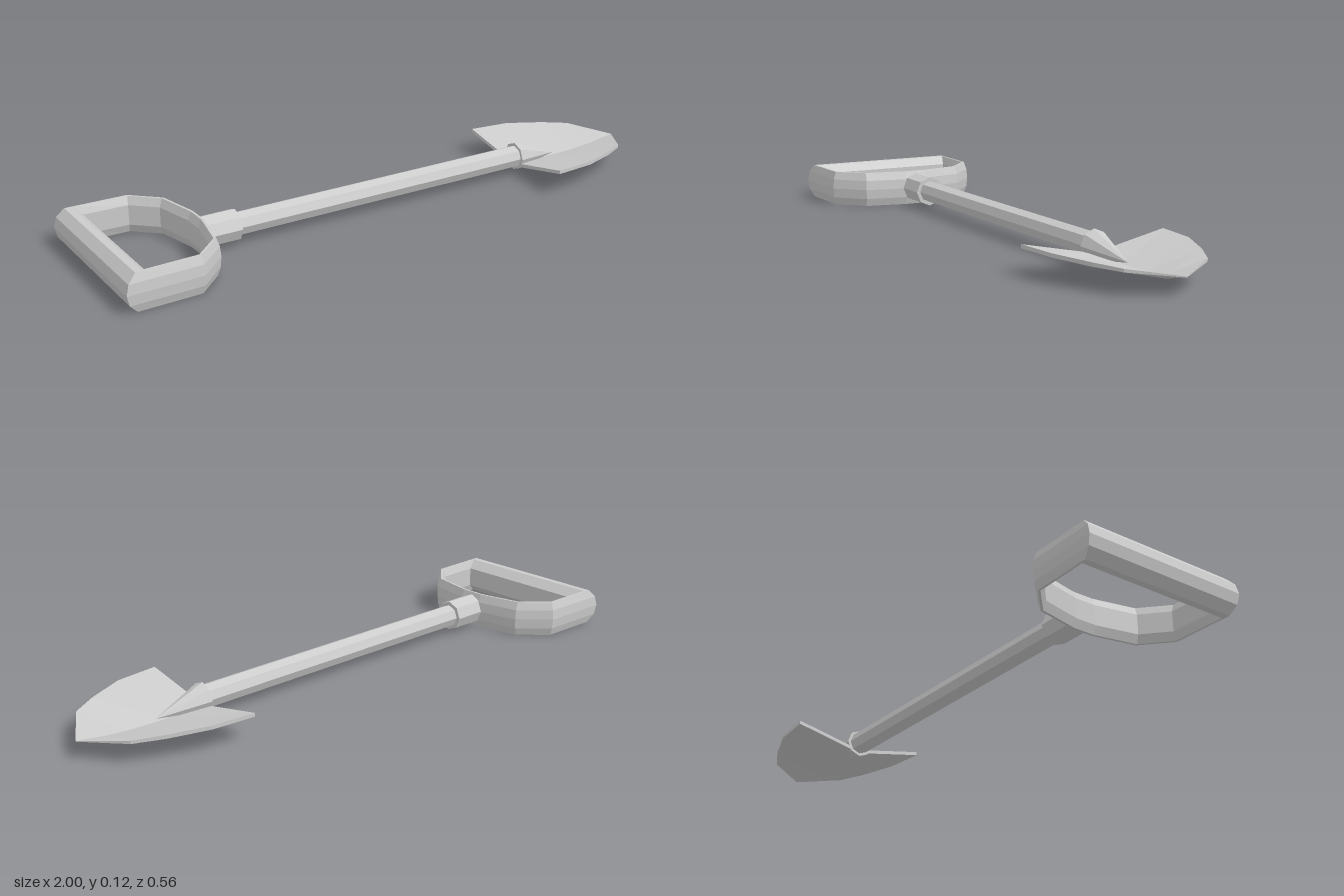
import * as THREE from 'three';

const material = new THREE.MeshStandardMaterial({ color: 0xcccccc, flatShading: true });
const AXIS_Y = 0.061;

// Skins a row of equal-sized rings; either joins last to first or caps both ends.
function loft(rings, closed) {
  const n = rings[0].length;
  const index = [];
  const spans = closed ? rings.length : rings.length - 1;
  for (let r = 0; r < spans; r++) {
    const a = r * n, b = ((r + 1) % rings.length) * n;
    for (let i = 0; i < n; i++) {
      const j = (i + 1) % n;
      index.push(a + i, a + j, b + j, a + i, b + j, b + i);
    }
  }
  if (!closed) {
    const e = (rings.length - 1) * n;
    for (let i = 1; i < n - 1; i++) {
      index.push(0, i + 1, i);
      index.push(e, e + i, e + i + 1);
    }
  }
  const geometry = new THREE.BufferGeometry();
  geometry.setAttribute('position', new THREE.Float32BufferAttribute(rings.flat(2), 3));
  geometry.setIndex(index);
  geometry.computeVertexNormals();
  return geometry;
}

// Eight-sided rod along x.
function rod(radius, x0, x1) {
  const geometry = new THREE.CylinderGeometry(radius, radius, x1 - x0, 8);
  geometry.rotateZ(Math.PI / 2);
  geometry.translate((x0 + x1) / 2, AXIS_Y, 0);
  return geometry;
}

// D-shaped handle: outer and inner outline points, one side mirrored to the other.
function handleGeometry() {
  const half = [
    // outer x, outer z, inner x, inner z
    [-1, 0.28, -0.915, 0.25],
    [-0.76, 0.275, -0.77, 0.245],
    [-0.665, 0.185, -0.695, 0.175],
    [-0.635, 0.04, -0.665, 0.035],
  ];
  const mirrored = half.map(([ox, oz, ix, iz]) => [ox, -oz, ix, -iz]).reverse();
  // Section: fraction from outer to inner, height
  const section = [
    [0.65, 0.12], [0.4, 0.12], [0.1, 0.093], [0, 0.06], [0.1, 0.027],
    [0.4, 0], [0.65, 0], [1, 0.027], [1, 0.093],
  ];
  const rings = [...half, ...mirrored].map(([ox, oz, ix, iz]) =>
    section.map(([t, y]) => [ox + (ix - ox) * t, y, oz + (iz - oz) * t]));
  return loft(rings, true);
}

// Pointed blade with a V-shaped section and a low centre crease.
function bladeGeometry() {
  const stations = [
    // x, half width, edge height, crease height, thickness
    [0.555, 0.245, 0.087, 0.036, 0.012],
    [0.7, 0.231, 0.086, 0.031, 0.012],
    [0.825, 0.183, 0.08, 0.034, 0.012],
    [0.91, 0.138, 0.074, 0.042, 0.01],
    [1, 0.001, 0.056, 0.056, 0.003],
  ];
  return loft(stations.map(([x, w, edge, crease, t]) => [
    [x, crease, 0], [x, edge, w], [x, edge - t, w],
    [x, crease - t, 0], [x, edge - t, -w], [x, edge, -w],
  ]), false);
}

// Socket cone that fairs the shaft into the blade.
function socketGeometry() {
  const length = 0.175;
  const geometry = new THREE.ConeGeometry(0.048, length, 8);
  geometry.rotateZ(-Math.PI / 2);
  const p = geometry.attributes.position;
  for (let i = 0; i < p.count; i++) {
    if (p.getX(i) > 0) p.setY(i, p.getY(i) - 0.02);
  }
  geometry.translate(0.555 + length / 2, AXIS_Y, 0);
  geometry.computeVertexNormals();
  return geometry;
}

export function createModel() {
  const group = new THREE.Group();
  group.name = 'shovel';
  const add = (name, geometry) => {
    const mesh = new THREE.Mesh(geometry, material);
    mesh.name = name;
    group.add(mesh);
  };
  add('handle', handleGeometry());
  add('collar', rod(0.051, -0.645, -0.525));
  add('shaft', rod(0.038, -0.54, 0.57));
  add('socket', socketGeometry());
  add('blade', bladeGeometry());
  return group;
}
